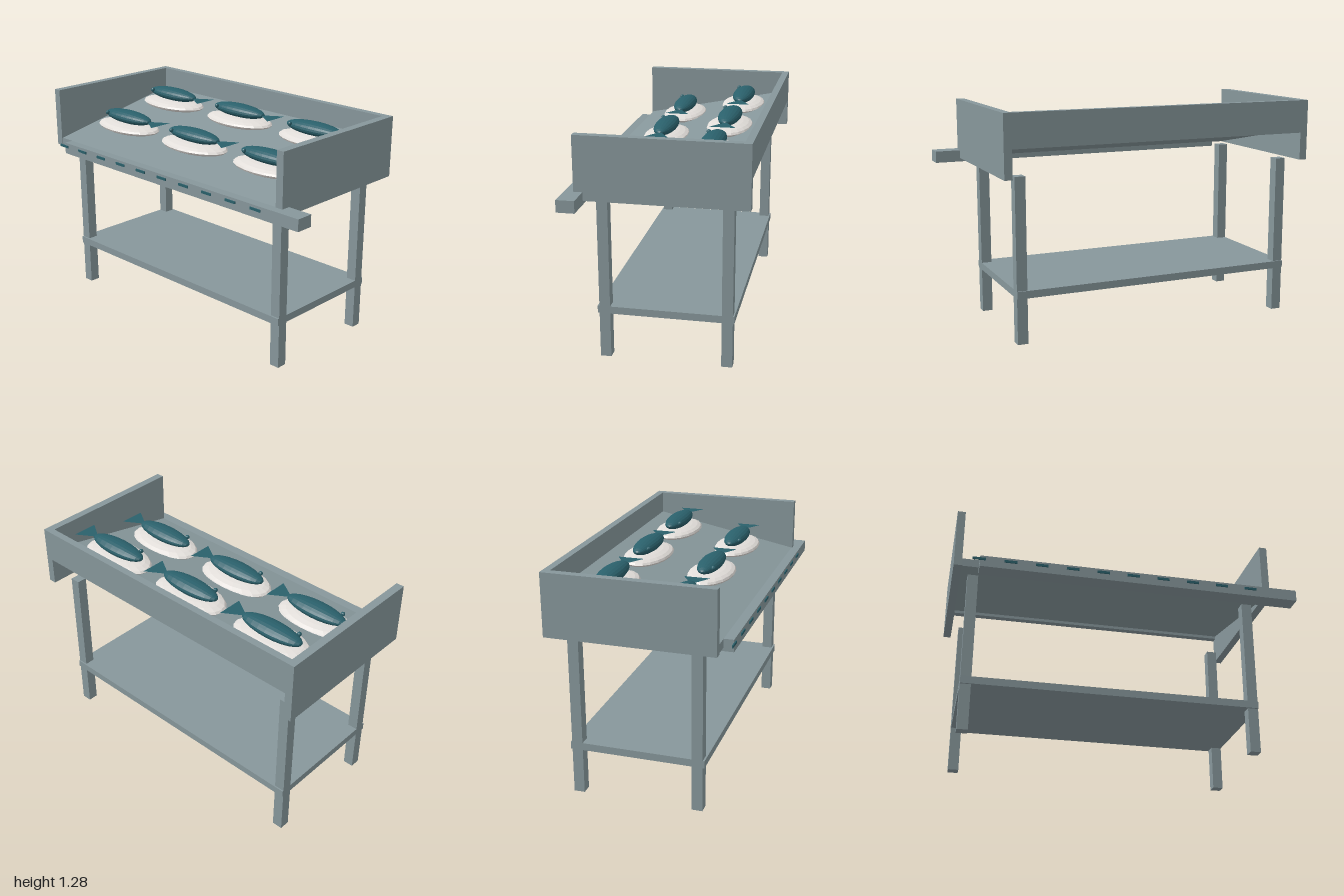
import * as THREE from 'three';

export function createModel() {
  const model = new THREE.Group();
  model.name = 'fishStall';

  const mat = (name, color, extra = {}) => {
    const m = new THREE.MeshStandardMaterial({ color, ...extra });
    m.name = name;
    return m;
  };
  const wood = mat('greyWood', 0x87979b);
  const scales = mat('tealScales', 0x2a606b, { side: THREE.DoubleSide, flatShading: true });
  const china = mat('whiteChina', 0xe2deda, { flatShading: true });

  const add = (parent, name, geometry, material, x = 0, y = 0, z = 0) => {
    const mesh = new THREE.Mesh(geometry, material);
    mesh.name = name;
    mesh.position.set(x, y, z);
    parent.add(mesh);
    return mesh;
  };
  // Box given by its limits on each axis
  const box = (name, [x0, x1], [y0, y1], [z0, z1], material = wood) =>
    add(model, name, new THREE.BoxGeometry(x1 - x0, y1 - y0, z1 - z0), material,
      (x0 + x1) / 2, (y0 + y1) / 2, (z0 + z1) / 2);

  // Legs and lower shelf
  for (const x of [-0.915, 0.71])
    for (const z of [-0.395, 0.28])
      box('leg', [x, x + 0.06], [0, 0.93], [z, z + 0.06]);
  box('shelf', [-0.915, 0.77], [0.26, 0.302], [-0.403, 0.35]);

  // Side walls and back board of the display
  box('rightWall', [-1, -0.955], [0.93, 1.28], [-0.49, 0.435]);
  box('leftWall', [0.81, 0.855], [0.93, 1.28], [-0.49, 0.435]);
  box('backBoard', [-0.955, 0.81], [1.09, 1.28], [-0.49, -0.45]);

  // Sloping tray: a sheared cross-section swept across the width
  const section = new THREE.Shape([
    [-0.43, 0.93], [-0.43, 0.977], [0.46, 1.155], [0.46, 1.11],
  ].map(([z, y]) => new THREE.Vector2(z, y)));
  const trayGeometry = new THREE.ExtrudeGeometry(section, { depth: 1.765, bevelEnabled: false });
  trayGeometry.rotateY(Math.PI / 2);
  add(model, 'tray', trayGeometry, wood, -0.955, 0, 0);

  // Front beam with a row of thin marks
  box('frontBeam', [-0.86, 1], [0.91, 0.977], [0.385, 0.484]);
  for (let i = 0; i < 10; i++) {
    const x = -0.865 + i * 0.1757;
    box('beamMark', [x - 0.036, x + 0.036], [0.948, 0.962], [0.483, 0.49], scales);
  }

  // Fish on oval plates, two rows of three
  const plateGeometry = new THREE.SphereGeometry(1, 20, 10).scale(0.24, 0.035, 0.133);
  const bodyGeometry = new THREE.SphereGeometry(1, 20, 12).rotateZ(Math.PI / 2).scale(0.197, 0.039, 0.066);
  const tailGeometry = new THREE.ShapeGeometry(new THREE.Shape([
    new THREE.Vector2(0, 0), new THREE.Vector2(0.12, -0.075), new THREE.Vector2(0.12, 0.075),
  ])).rotateX(-Math.PI / 2);
  const eyeGeometry = new THREE.SphereGeometry(0.013, 8, 6);

  for (const [z, y] of [[0.143, 1.053], [-0.238, 1.13]]) {
    for (const x of [-0.655, -0.075, 0.505]) {
      const serving = new THREE.Group();
      serving.name = 'fishOnPlate';
      serving.position.set(x, y, z);
      add(serving, 'plate', plateGeometry, china);
      add(serving, 'fishBody', bodyGeometry, scales, 0, 0.061, 0);
      add(serving, 'fishTail', tailGeometry, scales, 0.172, 0.061, 0);
      add(serving, 'fishEye', eyeGeometry, scales, -0.14, 0.073, 0.05);
      model.add(serving);
    }
  }
  return model;
}
